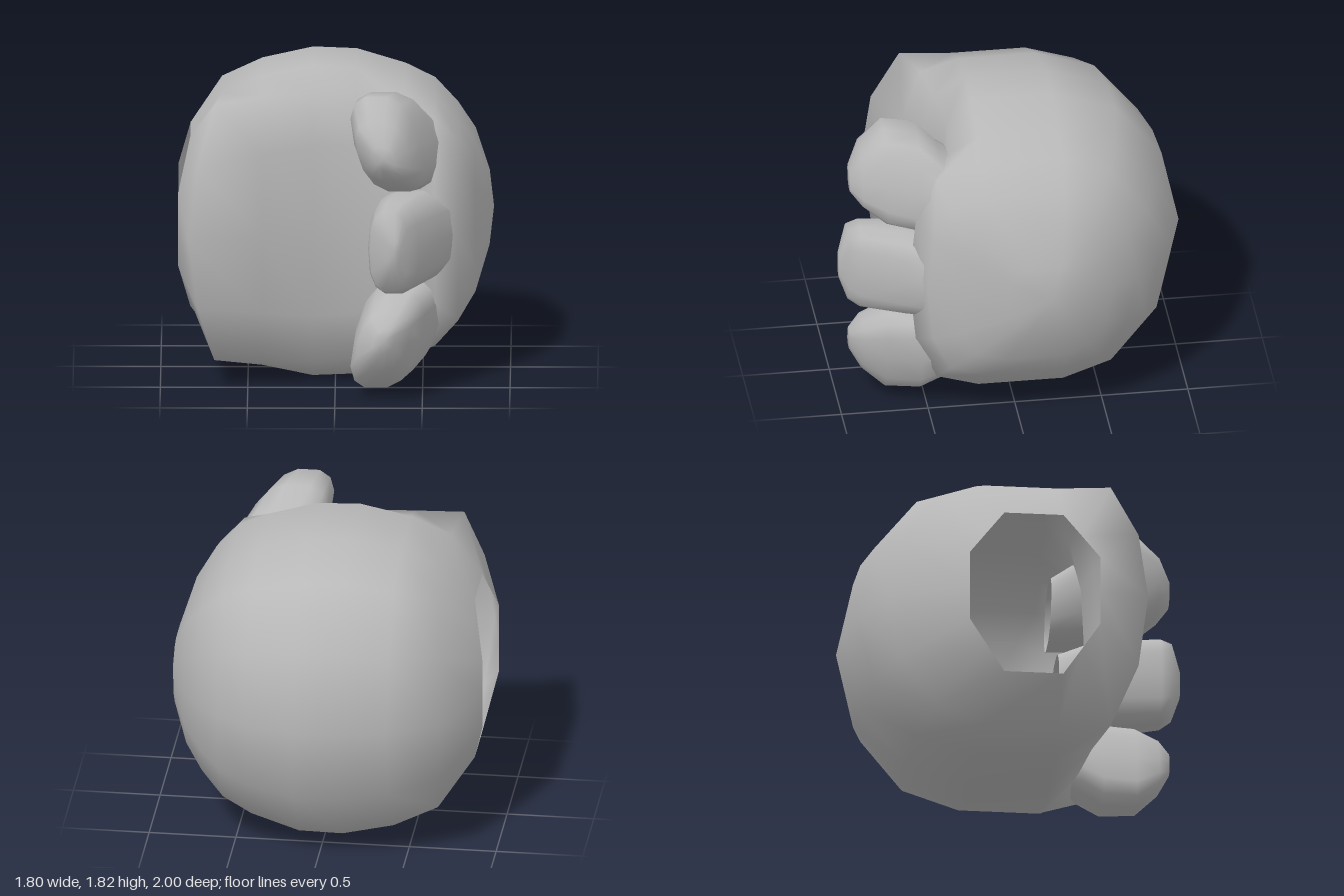
import * as THREE from 'three';

const MID = 0.915; // height of the mirror plane

// Signed power, for superellipse outlines
const spow = (v, p) => Math.sign(v) * Math.pow(Math.abs(v), p);

// Skins a list of equal-length closed rings and closes the last one with a tip
function loft(rings, tip) {
  const n = rings[0].length, pos = [...rings.flat(2), ...tip], index = [];
  for (let r = 0; r < rings.length; r++) {
    for (let i = 0; i < n; i++) {
      const a = r * n + i, b = r * n + (i + 1) % n;
      if (r === rings.length - 1) index.push(a, b, rings.length * n);
      else index.push(a, b, a + n, b, b + n, a + n);
    }
  }
  const g = new THREE.BufferGeometry();
  g.setAttribute('position', new THREE.Float32BufferAttribute(pos, 3));
  g.setIndex(index);
  g.computeVertexNormals();
  return g;
}

// Closed ring from its upper half: quarter(k, side) gives [x, dy, z] for k = 0 (mid) to 3 (top)
function mirroredRing(quarter) {
  const upper = [0, 1, 2, 3].map((k) => quarter(k, 1))
    .concat([3, 2, 1, 0].map((k) => quarter(k, -1)));
  const lower = upper.slice(1, -1).reverse().map(([x, dy, z]) => [x, -dy, z]);
  return [...upper, ...lower].map(([x, dy, z]) => [x, MID + dy, z]);
}

// Palm and back of the hand: rings across x, starting at the octagonal wrist opening
function bodyGeometry() {
  const corner = [[-0.9, 0, 0.375], [-0.9, 0.21, 0.375], [-0.865, 0.355, 0.273], [-0.83, 0.5, 0.17]];
  const rim = mirroredRing((k, side) => [corner[k][0], corner[k][1], 0.045 + side * corner[k][2]]);

  // Round back, flat top between zb and zf, and a boxier palm side
  const section = (x, h, back, zb, zf, front, shoulder) => mirroredRing((k, side) => {
    const t = (k * Math.PI) / 6;
    const c = side > 0 ? [1, 0.9, 0.6, 0][k] : Math.cos(t);
    const s = side > 0 ? [0, 0.55, shoulder, 1][k] : Math.sin(t);
    return [
      typeof x === 'function' ? x(c, side) : x,
      h * s,
      side > 0 ? zf + (front - zf) * c : zb + (back - zb) * c,
    ];
  });
  const cuff = (c, side) => -0.65 - (side > 0 ? 0.19 * c ** 3 : 0.06 * c * c);
  // x, half height, back z, flat top from z, to z, front z, palm shoulder height
  const sections = [
    [cuff, 0.75, -0.78, -0.22, 0.2, 0.7, 1.0],
    [-0.42, 0.85, -0.93, -0.25, 0.2, 0.56, 0.92],
    [-0.13, 0.91, -0.98, -0.27, 0.2, 0.49, 0.87],
    [0.12, 0.9, -1.0, -0.27, 0.2, 0.43, 0.86],
    [0.4, 0.815, -0.92, -0.27, 0.2, 0.48, 0.89],
    [0.57, 0.73, -0.82, -0.27, 0.22, 0.62, 0.9],
    [0.7, 0.59, -0.68, -0.26, 0.2, 0.53, 0.9],
    [0.8, 0.44, -0.53, -0.25, 0.1, 0.37, 0.89],
    [0.88, 0.2, -0.35, -0.22, -0.05, 0.08, 0.87],
  ].map((a) => section(...a));
  return loft([rim, ...sections], [0.905, MID, -0.16]);
}

// Finger: rings along z as [z, low y, high y, left x, right x], leaning sideways by shear
function fingerGeometry(rows, shear) {
  const sides = 14;
  const rings = rows.map(([z, y0, y1, x0, x1]) => Array.from({ length: sides }, (_, i) => {
    const t = (i / sides) * Math.PI * 2;
    const dy = (y1 - y0) / 2 * spow(Math.sin(t), 0.75);
    const dx = (x1 - x0) / 2 * spow(Math.cos(t), 0.75);
    return [(x0 + x1) / 2 + dx + shear * dy, (y0 + y1) / 2 + dy, z];
  }));
  const [z, y0, y1, x0, x1] = rows[rows.length - 1];
  return loft(rings, [(x0 + x1) / 2, (y0 + y1) / 2, z + 0.003]);
}

// Flips a geometry across the mirror plane, keeping faces outward
function mirrorY(geometry) {
  const g = geometry.clone();
  g.scale(1, -1, 1).translate(0, 2 * MID, 0);
  const idx = g.index.array;
  for (let i = 0; i < idx.length; i += 3) [idx[i], idx[i + 1]] = [idx[i + 1], idx[i]];
  g.computeVertexNormals();
  return g;
}

export function createModel() {
  const grey = new THREE.MeshStandardMaterial({ color: 0xb8b8b8, side: THREE.DoubleSide });
  grey.name = 'plain grey';
  const hand = new THREE.Group();
  hand.name = 'cartoonFist';
  const add = (name, geometry) => {
    const mesh = new THREE.Mesh(geometry, grey);
    mesh.name = name;
    hand.add(mesh);
  };

  add('palm', bodyGeometry());

  add('middleFinger', fingerGeometry([
    [0.3, 0.7, 1.13, 0.3, 0.76],
    [0.45, 0.66, 1.17, 0.22, 0.73],
    [0.64, 0.64, 1.19, 0.2, 0.62],
    [0.88, 0.645, 1.185, 0.19, 0.485],
    [0.945, 0.68, 1.15, 0.2, 0.42],
    [0.995, 0.83, 1.0, 0.3, 0.37],
  ], 0));

  const outer = fingerGeometry([
    [0.25, 1.2, 1.56, 0.25, 0.66],
    [0.42, 1.18, 1.65, 0.16, 0.63],
    [0.54, 1.18, 1.76, 0.12, 0.57],
    [0.73, 1.21, 1.775, 0.11, 0.49],
    [0.86, 1.3, 1.65, 0.13, 0.42],
    [0.927, 1.38, 1.52, 0.22, 0.34],
  ], -0.24);
  add('upperFinger', outer);
  add('lowerFinger', mirrorY(outer));
  return hand;
}
